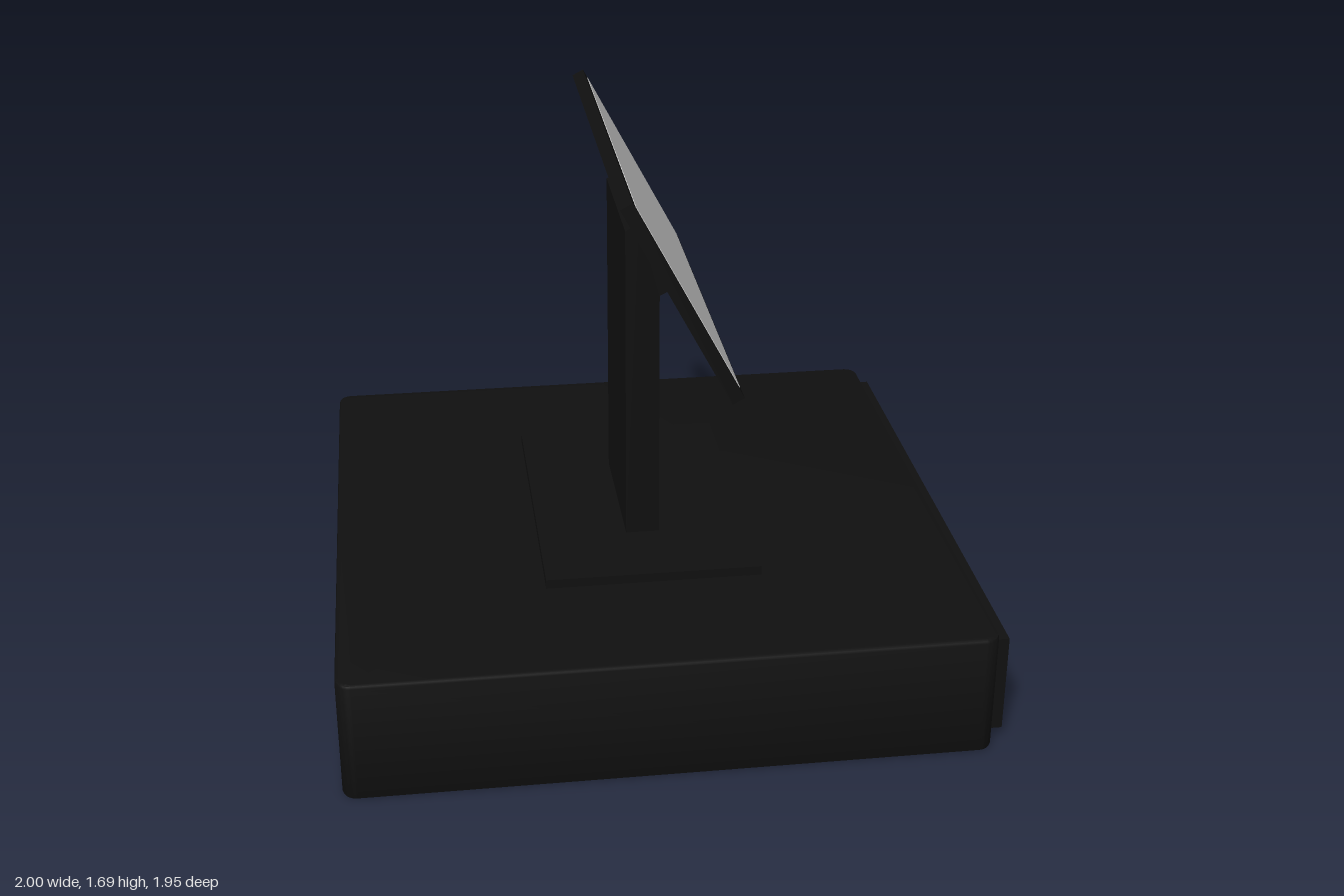
import * as THREE from 'three';
import { toCreasedNormals } from 'three/addons/utils/BufferGeometryUtils.js';

const BLACK = 0x101010, GREY = 0xcccccc, STEEL = 0x666666;

function add(parent, name, geometry, color, x = 0, y = 0, z = 0) {
  const mesh = new THREE.Mesh(geometry, new THREE.MeshStandardMaterial({ color }));
  mesh.name = name;
  mesh.position.set(x, y, z);
  parent.add(mesh);
  return mesh;
}

const box = (w, h, d) => new THREE.BoxGeometry(w, h, d);

function roundedRect(w, h, r) {
  const s = new THREE.Shape(), a = w / 2, b = h / 2;
  s.absarc(a - r, b - r, r, 0, Math.PI / 2);
  s.absarc(-a + r, b - r, r, Math.PI / 2, Math.PI);
  s.absarc(-a + r, -b + r, r, Math.PI, Math.PI * 1.5);
  s.absarc(a - r, -b + r, r, Math.PI * 1.5, Math.PI * 2);
  s.closePath();
  return s;
}

// Slab lying on y = 0 with rounded corners and a small bevel
function slab(w, h, d, r, bevel) {
  const g = new THREE.ExtrudeGeometry(roundedRect(w - 2 * bevel, d - 2 * bevel, r - bevel), {
    depth: h - 2 * bevel, bevelThickness: bevel, bevelSize: bevel, bevelSegments: 2, curveSegments: 6,
  });
  g.translate(0, 0, bevel).rotateX(-Math.PI / 2);
  return toCreasedNormals(g, 0.6);
}

export function createModel() {
  const model = new THREE.Group();
  model.name = 'cashRegister';

  // Cash drawer: casing and raised front panel facing +x
  add(model, 'drawerCasing', slab(1.945, 0.39, 1.946, 0.045, 0.01), BLACK, -0.0275, 0, 0);
  add(model, 'drawerFront', box(0.06, 0.315, 1.83), BLACK, 0.955, 0.1975, 0);

  // Lock: ring, recessed core and key slot
  const lock = new THREE.Group();
  lock.name = 'drawerLock';
  lock.position.set(0.985, 0.197, 0);
  lock.rotation.y = Math.PI / 2;
  model.add(lock);
  const ring = roundedRect(0.074, 0.074, 0.037);
  ring.holes.push(new THREE.Path().absarc(0, 0, 0.02, 0, Math.PI * 2, true));
  const ringGeo = new THREE.ExtrudeGeometry(ring, { depth: 0.015, bevelEnabled: false, curveSegments: 8 });
  add(lock, 'lockRing', toCreasedNormals(ringGeo, 0.6), STEEL);
  add(lock, 'lockCore', new THREE.CylinderGeometry(0.02, 0.02, 0.008, 24).rotateX(Math.PI / 2), BLACK, 0, 0, 0.004);
  add(lock, 'keySlot', box(0.008, 0.034, 0.005), STEEL, 0, 0, 0.009);

  // Stand: foot plate and column whose head leans into the screen
  add(model, 'footPlate', box(0.67, 0.035, 1.02), BLACK, -0.025, 0.4025, 0);
  const profile = new THREE.Shape([
    [-0.08, 0.41], [0.025, 0.41], [0.025, 1.232], [0.076, 1.259], [-0.038, 1.47], [-0.08, 1.445],
  ].map(([x, y]) => new THREE.Vector2(x, y)));
  const column = new THREE.ExtrudeGeometry(profile, { depth: 0.49, bevelEnabled: false });
  add(model, 'column', column, BLACK, 0, 0, -0.245);

  // Tilted screen: body and display
  const screen = new THREE.Group();
  screen.name = 'screen';
  screen.position.set(0.035, 1.371, 0);
  screen.rotation.z = 0.49;
  model.add(screen);
  add(screen, 'screenBody', box(0.04, 0.691, 1.335), BLACK);
  add(screen, 'display', box(0.004, 0.643, 1.276), GREY, 0.02, 0, 0);

  return model;
}
